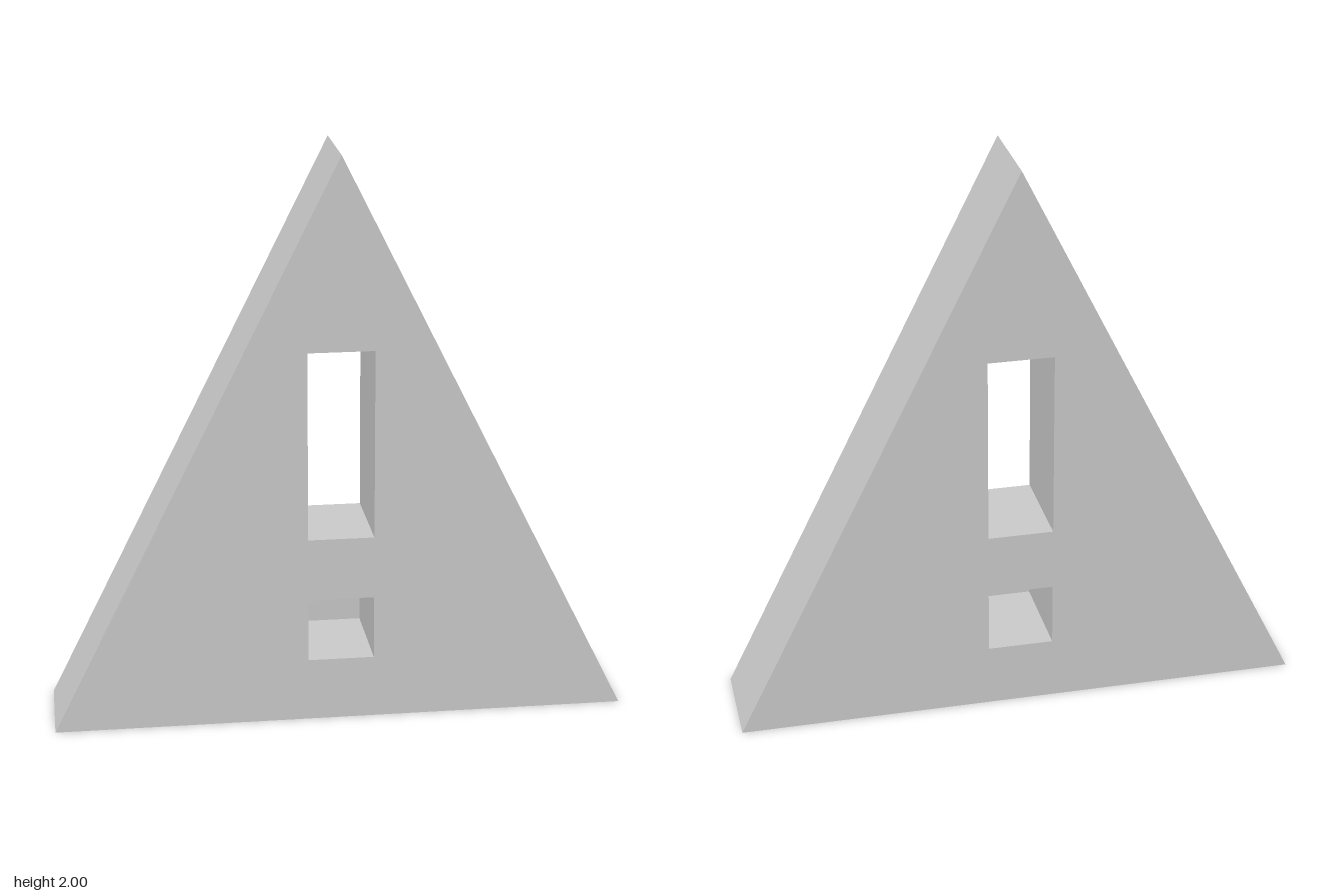
import * as THREE from 'three';

const DEPTH = 0.356;

// Rectangular cut-out centred on x = 0
function slot(halfWidth, bottom, top) {
  return new THREE.Path([
    new THREE.Vector2(-halfWidth, bottom),
    new THREE.Vector2(-halfWidth, top),
    new THREE.Vector2(halfWidth, top),
    new THREE.Vector2(halfWidth, bottom),
  ]);
}

export function createModel() {
  const group = new THREE.Group();
  group.name = 'warningSign';

  // Triangular plate
  const outline = new THREE.Shape([
    new THREE.Vector2(-1, 0),
    new THREE.Vector2(1, 0),
    new THREE.Vector2(0, 2),
  ]);

  // Exclamation mark: bar and dot cut right through
  outline.holes.push(slot(0.115, 0.667, 1.333), slot(0.115, 0.222, 0.446));

  const geometry = new THREE.ExtrudeGeometry(outline, { depth: DEPTH, bevelEnabled: false });
  geometry.translate(0, 0, -DEPTH / 2);

  const material = new THREE.MeshStandardMaterial({ color: 0xcccccc, flatShading: true });
  const plate = new THREE.Mesh(geometry, material);
  plate.name = 'trianglePlate';
  group.add(plate);

  return group;
}
